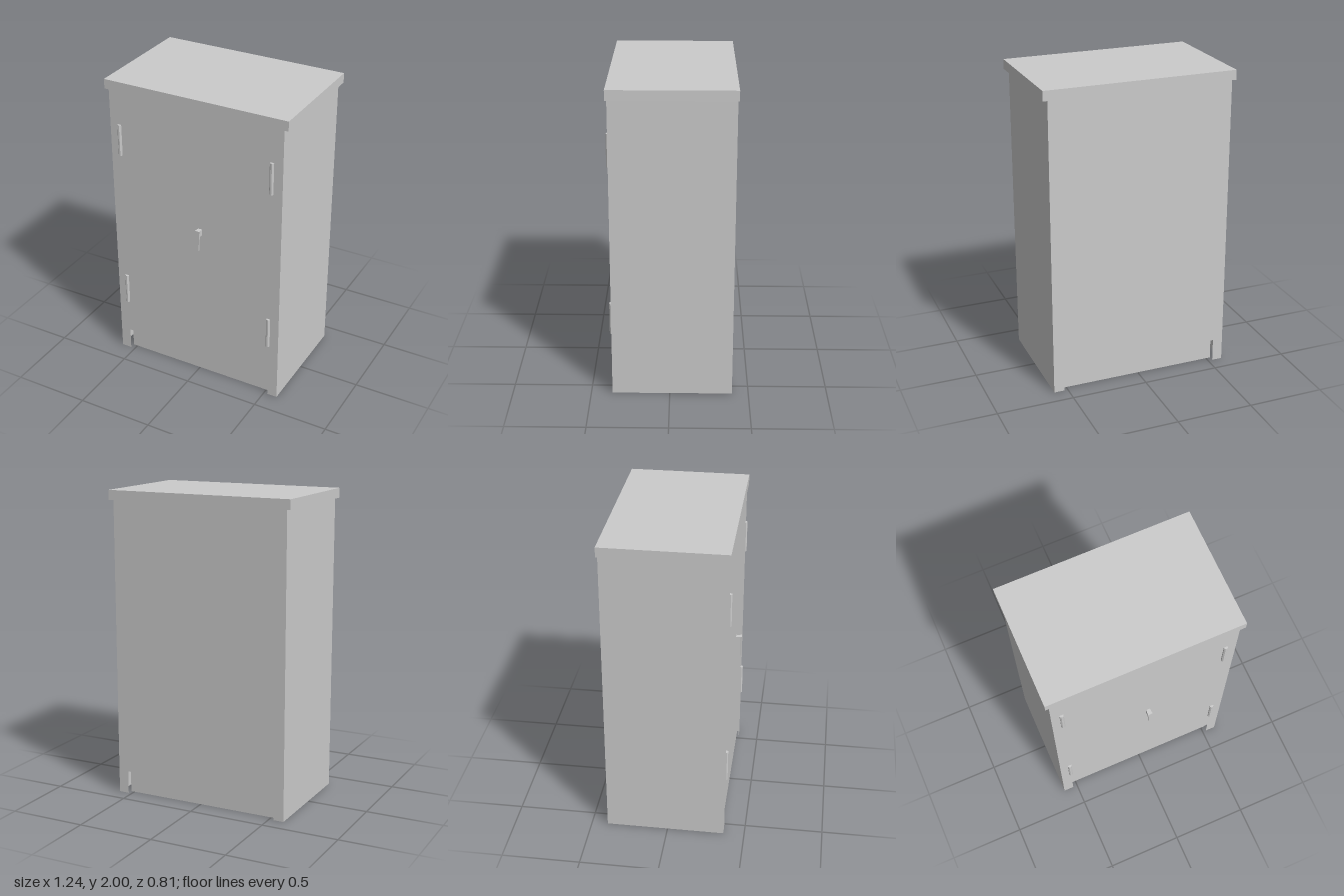
import * as THREE from 'three';

const grey = new THREE.MeshStandardMaterial({ color: 0xcccccc, flatShading: true });
const sheet = new THREE.MeshStandardMaterial({ color: 0xcccccc, flatShading: true, side: THREE.DoubleSide });

// Overall extents of the sheet-metal body and its plinth
const BODY = { x0: -0.598, x1: 0.592, z0: -0.396, z1: 0.365, top: 1.937 };
const PLINTH = { x0: -0.53, x1: 0.525, z0: -0.361, z1: 0.33, top: 0.15 };

function add(parent, name, geometry, material, x = 0, y = 0, z = 0) {
  const mesh = new THREE.Mesh(geometry, material);
  mesh.name = name;
  mesh.position.set(x, y, z);
  parent.add(mesh);
  return mesh;
}

// Box given by its minimum and maximum corners
function block(parent, name, [x0, y0, z0], [x1, y1, z1]) {
  return add(parent, name, new THREE.BoxGeometry(x1 - x0, y1 - y0, z1 - z0), grey,
    (x0 + x1) / 2, (y0 + y1) / 2, (z0 + z1) / 2);
}

function outline(points) {
  return new THREE.Shape(points.map(([x, y]) => new THREE.Vector2(x, y)));
}

// Thin upright side panel at a given x
function sidePanel(parent, name, x, z0, z1, height) {
  const panel = add(parent, name, new THREE.PlaneGeometry(z1 - z0, height), sheet, x, height / 2, (z0 + z1) / 2);
  panel.rotation.y = x > 0 ? Math.PI / 2 : -Math.PI / 2;
}

export function createModel() {
  const cabinet = new THREE.Group();
  cabinet.name = 'cabinet';

  // Shell: front and back panels cut out at the foot, plain sides
  const body = new THREE.Group();
  body.name = 'body';
  cabinet.add(body);
  const panel = new THREE.ShapeGeometry(outline([
    [BODY.x0, 0], [PLINTH.x0, 0], [PLINTH.x0, PLINTH.top], [PLINTH.x1, PLINTH.top],
    [PLINTH.x1, 0], [BODY.x1, 0], [BODY.x1, BODY.top], [BODY.x0, BODY.top],
  ]));
  add(body, 'frontPanel', panel, sheet, 0, 0, BODY.z1);
  const back = panel.clone().rotateY(Math.PI).scale(1, 1, 1);
  back.translate(BODY.x0 + BODY.x1, 0, 0);
  add(body, 'backPanel', back, sheet, 0, 0, BODY.z0);
  sidePanel(body, 'rightPanel', BODY.x0, BODY.z0, BODY.z1, BODY.top);
  sidePanel(body, 'leftPanel', BODY.x1, BODY.z0, BODY.z1, BODY.top);

  // Recessed plinth, open underneath
  const plinth = new THREE.Group();
  plinth.name = 'plinth';
  cabinet.add(plinth);
  const width = PLINTH.x1 - PLINTH.x0;
  const midX = (PLINTH.x0 + PLINTH.x1) / 2;
  const kick = new THREE.PlaneGeometry(width, PLINTH.top);
  add(plinth, 'frontKickPlate', kick, sheet, midX, PLINTH.top / 2, PLINTH.z1);
  add(plinth, 'backKickPlate', kick, sheet, midX, PLINTH.top / 2, PLINTH.z0).rotation.y = Math.PI;
  sidePanel(plinth, 'rightKickPlate', PLINTH.x0, PLINTH.z0, PLINTH.z1, PLINTH.top);
  sidePanel(plinth, 'leftKickPlate', PLINTH.x1, PLINTH.z0, PLINTH.z1, PLINTH.top);
  const floor = new THREE.PlaneGeometry(width, PLINTH.z1 - PLINTH.z0);
  add(plinth, 'cabinetFloor', floor, sheet, midX, PLINTH.top, (PLINTH.z0 + PLINTH.z1) / 2).rotation.x = Math.PI / 2;

  // Overhanging lid
  block(cabinet, 'lid', [-0.622, BODY.top, -0.403], [0.622, 2, 0.375]);

  // Hinge barrels, two per door
  const barrel = new THREE.CylinderGeometry(0.0135, 0.0135, 0.21, 8);
  barrel.rotateY(Math.PI / 8);
  for (const x of [-0.532, 0.52]) {
    for (const y of [0.495, 1.605]) add(cabinet, 'hinge', barrel, grey, x, y, BODY.z1 + 0.002);
  }

  // Door handle: short stem with a tapered lever hanging from it
  const handle = new THREE.Group();
  handle.name = 'handle';
  cabinet.add(handle);
  block(handle, 'handleStem', [0.018, 1.08, BODY.z1 - 0.005], [0.046, 1.12, 0.395]);
  const lever = new THREE.ExtrudeGeometry(
    outline([[0.024, 0.98], [0.04, 0.98], [0.048, 1.122], [0.016, 1.122]]),
    { depth: 0.01, bevelEnabled: false });
  add(handle, 'handleLever', lever, grey, 0, 0, 0.392);

  return cabinet;
}
